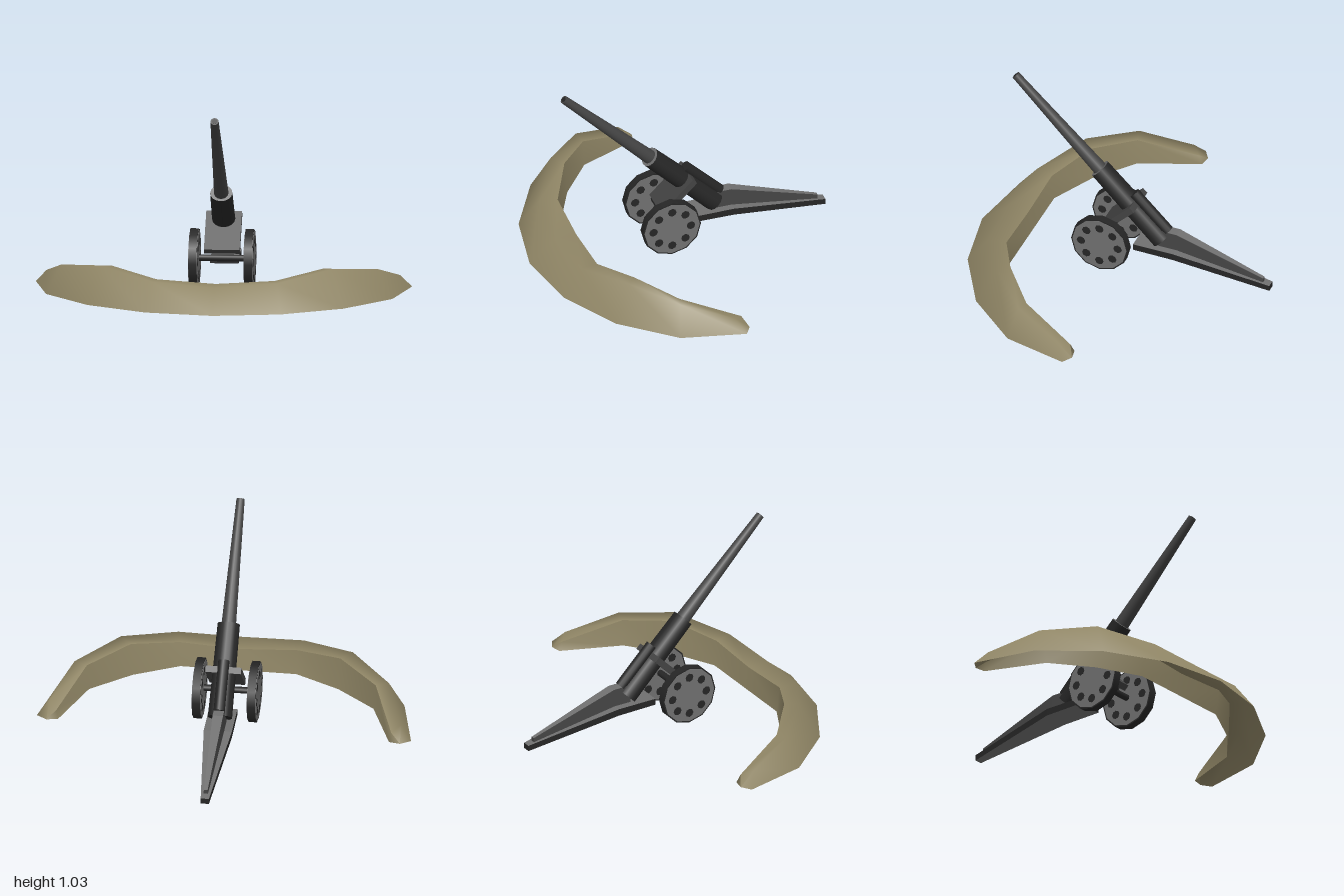
import * as THREE from 'three';

const mat = (name, color, side = THREE.FrontSide) => {
  const m = new THREE.MeshStandardMaterial({ color, side });
  m.name = name;
  return m;
};

// Open smooth sheet through rows of equal length
function sheet(rows) {
  const n = rows[0].length, index = [];
  for (let i = 0; i < rows.length - 1; i++) {
    for (let j = 0; j < n - 1; j++) {
      const a = i * n + j, b = a + n;
      index.push(a, b, a + 1, a + 1, b, b + 1);
    }
  }
  const g = new THREE.BufferGeometry();
  g.setAttribute('position', new THREE.Float32BufferAttribute(rows.flat(2), 3));
  g.setIndex(index);
  g.computeVertexNormals();
  return g;
}

// Flat-shaded four-sided beam through [z, halfWidthTop, top, halfWidthBottom, bottom] stations.
// Group 0 is the top, group 1 the sides and ends, group 2 the bottom.
function beam(stations) {
  const rings = stations.map(([z, wt, t, wb, b]) => [[-wt, t, z], [wt, t, z], [wb, b, z], [-wb, b, z]]);
  const faces = [[], [], []];
  const quad = (list, a, b, c, d) => list.push(a, b, c, a, c, d);
  for (let i = 0; i < rings.length - 1; i++) {
    for (let j = 0; j < 4; j++) {
      const k = (j + 1) % 4;
      quad(faces[[0, 1, 2, 1][j]], rings[i][j], rings[i][k], rings[i + 1][k], rings[i + 1][j]);
    }
  }
  const [p, q] = [rings[0], rings[rings.length - 1]];
  quad(faces[1], p[3], p[2], p[1], p[0]);
  quad(faces[1], q[0], q[1], q[2], q[3]);
  const g = new THREE.BufferGeometry();
  g.setAttribute('position', new THREE.Float32BufferAttribute(faces.flat(2), 3));
  let start = 0;
  faces.forEach((f, i) => {
    g.addGroup(start, f.length, i);
    start += f.length;
  });
  g.computeVertexNormals();
  return g;
}

export function createModel() {
  const earth = mat('earth', 0x8f8565, THREE.DoubleSide);
  const steel = mat('lightSteel', 0x707070);
  const iron = mat('barrelIron', 0x444444);
  const dark = mat('darkIron', 0x262626);

  const model = new THREE.Group();
  const add = (parent, name, geometry, material, x = 0, y = 0, z = 0) => {
    const mesh = new THREE.Mesh(geometry, material);
    mesh.name = name;
    mesh.position.set(x, y, z);
    parent.add(mesh);
    return mesh;
  };

  // Curved earth bank sections: outer foot, ridge, inner lip, inner foot
  const half = [
    [[0, 0, 0.825], [0, 0.122, 0.68], [0, 0.12, 0.56], [0, 0, 0.54]],
    [[0.36, 0, 0.76], [0.335, 0.145, 0.65], [0.315, 0.14, 0.556], [0.31, 0, 0.54]],
    [[0.68, 0, 0.58], [0.62, 0.196, 0.485], [0.56, 0.185, 0.432], [0.55, 0, 0.42]],
    [[0.92, 0, 0.30], [0.84, 0.155, 0.27], [0.772, 0.145, 0.253], [0.76, 0, 0.25]],
    [[1, 0, -0.045], [0.94, 0.07, 0], [0.895, 0.045, -0.05], [0.885, 0, -0.07]],
    [[0.945, 0, -0.08], [0.945, 0, -0.08], [0.945, 0, -0.08], [0.945, 0, -0.08]],
  ];
  const mirrored = half.slice(1).reverse().map(r => r.map(([x, y, z]) => [-x, y, z]));
  const bank = [...mirrored, ...half];
  add(model, 'earthBankSlope', sheet(bank.map(r => r.slice(0, 3))), earth);
  add(model, 'earthBankInnerWall', sheet(bank.map(r => r.slice(2))), earth);

  // Elevated gun, its axis along local y
  const gun = new THREE.Group();
  gun.name = 'gun';
  gun.position.set(0, 0.53, 0.15);
  gun.rotation.x = Math.PI / 4;
  model.add(gun);
  add(gun, 'barrel', new THREE.CylinderGeometry(0.022, 0.039, 0.692, 16), iron, 0, 0.336, 0);
  add(gun, 'bore', new THREE.CylinderGeometry(0.014, 0.014, 0.004, 12), dark, 0, 0.682, 0);
  add(gun, 'sleeve', new THREE.CylinderGeometry(0.053, 0.058, 0.51, 16), [dark, steel, dark], 0, -0.255, 0)
    .scale.x = 1.12;
  add(gun, 'recoilCylinder', new THREE.CylinderGeometry(0.03, 0.03, 0.275, 12), dark, 0, -0.3525, -0.065);
  add(gun, 'cradle', new THREE.BoxGeometry(0.19, 0.035, 0.25), iron, 0, -0.262, 0.075);

  // Trail: plank with dark edges and a narrow raised spine
  add(model, 'trailPlank', beam([
    [-0.07, 0.075, 0.14, 0.075, 0.105],
    [-0.30, 0.075, 0.14, 0.075, 0.102],
    [-0.83, 0.022, 0.045, 0.022, 0.014],
  ]), [steel, dark, steel]);
  add(model, 'trailSpine', beam([
    [-0.20, 0.028, 0.235, 0.034, 0.138],
    [-0.30, 0.028, 0.235, 0.034, 0.138],
    [-0.79, 0.01, 0.075, 0.012, 0.05],
  ]), [steel, iron, iron]);

  // Axle and wheels
  const axle = add(model, 'axle', new THREE.CylinderGeometry(0.018, 0.018, 0.27, 10), dark, 0, 0.165, 0.083);
  axle.rotation.z = Math.PI / 2;
  for (const side of [-1, 1]) {
    const wheel = new THREE.Group();
    wheel.name = side > 0 ? 'leftWheel' : 'rightWheel';
    wheel.position.set(side * 0.147, 0.161, 0.083);
    wheel.rotation.z = Math.PI / 2;
    model.add(wheel);
    add(wheel, 'tyre', new THREE.CylinderGeometry(0.1625, 0.1625, 0.044, 12), dark);
    add(wheel, 'disc', new THREE.CylinderGeometry(0.155, 0.155, 0.047, 12), steel);
    // Dark lightening holes showing on both faces
    for (let i = 0; i < 8; i++) {
      const a = i * Math.PI / 4;
      for (const face of [-1, 1]) {
        add(wheel, 'hole', new THREE.CylinderGeometry(0.024, 0.024, 0.003, 8), dark,
          Math.cos(a) * 0.105, face * 0.0235, Math.sin(a) * 0.105);
      }
    }
  }
  return model;
}
